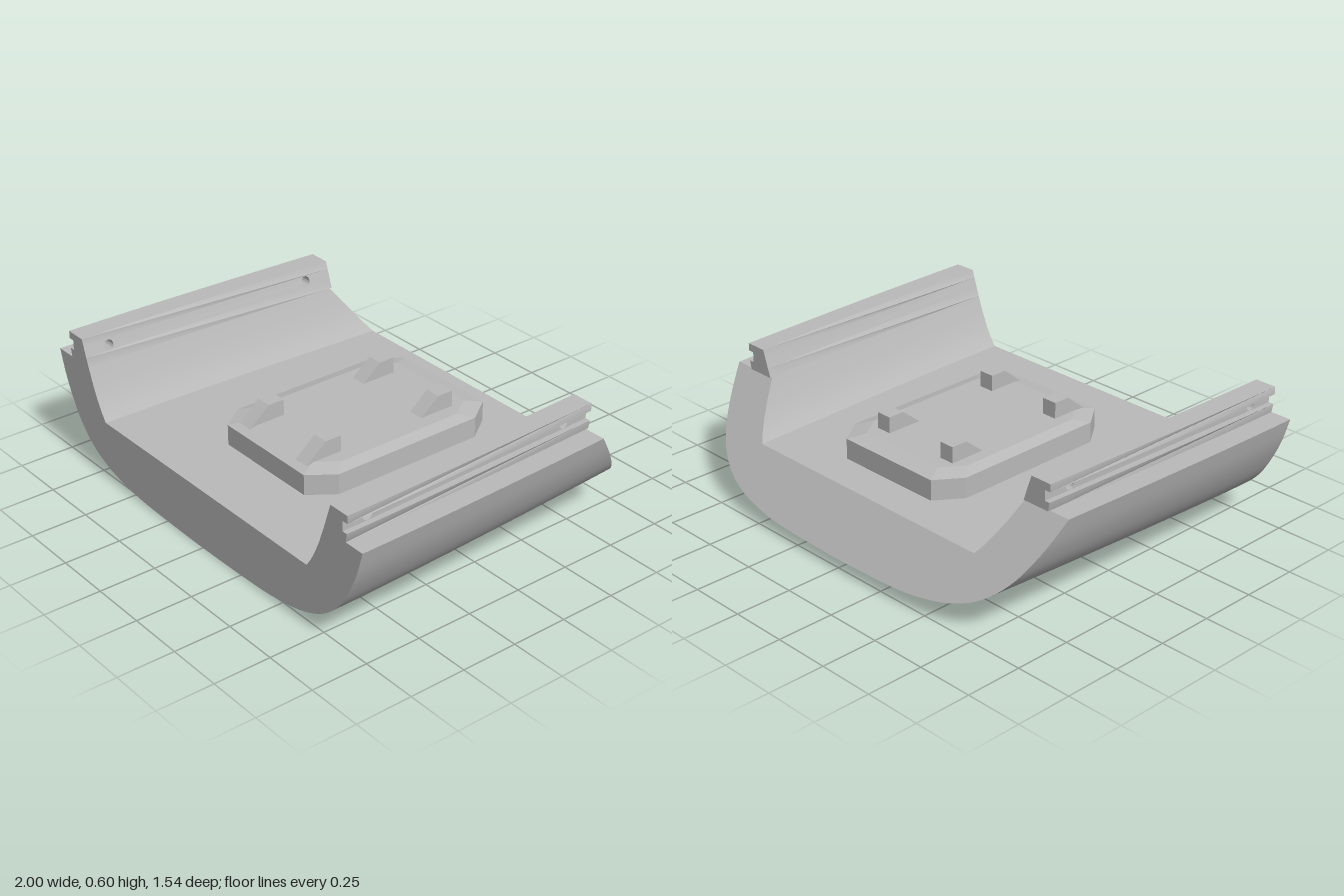
import * as THREE from 'three';
import { toCreasedNormals } from 'three/addons/utils/BufferGeometryUtils.js';

const FRONT = 0.77, LEDGE = 0.485, FLOOR = 0.27;

// inward taper of the sides towards the back
const taper = (x, z) => {
  const u = Math.max(0, (FRONT - z) / 1.24);
  return x - Math.sign(x) * 0.04 * Math.pow(u, 1.5) * Math.min(1, Math.abs(x) / 0.6);
};

// move every vertex of a geometry by a rule
function remap(geo, rule, crease = 0.5) {
  const p = geo.attributes.position;
  for (let i = 0; i < p.count; i++) p.setXYZ(i, ...rule(p.getX(i), p.getY(i), p.getZ(i)));
  return toCreasedNormals(geo, crease);
}

const v2 = (list) => list.map(([x, y]) => new THREE.Vector2(x, y));
const mirror = (list) => list.map(([x, y]) => [-x, y]).reverse();

export function createModel() {
  const group = new THREE.Group();
  const grey = new THREE.MeshStandardMaterial({ color: 0xbababa });
  grey.name = 'grey';
  const add = (name, geo) => {
    const mesh = new THREE.Mesh(geo, grey);
    mesh.name = name;
    group.add(mesh);
    return mesh;
  };

  // tray shell: U section swept to a slanted back
  const half = [[1, LEDGE], [0.968, 0.38], [0.925, 0.285], [0.87, 0.195], [0.8, 0.125],
    [0.72, 0.077], [0.62, 0.042], [0.5, 0.02], [0.35, 0.007]];
  const outer = new THREE.SplineCurve(v2([...half, [0, 0], ...mirror(half)])).getPoints(60);
  const wall = [[0.675, FLOOR], [0.7, 0.305], [0.725, 0.35], [0.752, 0.41], [0.78, LEDGE]];
  const section = new THREE.Shape([...outer, ...v2([...mirror(wall), ...wall])]);
  const shell = new THREE.ExtrudeGeometry(section, { depth: 1, steps: 12, bevelEnabled: false });
  add('trayShell', remap(shell, (x, y, d) => {
    const w = 1 - d, lift = Math.max(0, 1 - y / FLOOR) * 0.055;
    const back = -0.46 - 0.72 * (LEDGE - y - lift);
    const z = THREE.MathUtils.lerp(FRONT, back, w);
    return [taper(x, z), y + lift * Math.pow(w, 1.2), z];
  }));

  // grooved side rails with cross holes, made of three stacked strips
  const strips = [
    { name: 'railBase', y: [LEDGE, 0.523], x: [0.905, 0.912] },
    { name: 'railGroove', y: [0.523, 0.567], x: [0.888, 0.888], holes: [0.655, -0.345] },
    { name: 'railTop', y: [0.567, 0.6], x: [0.915, 0.915] },
  ];
  for (const side of [1, -1]) {
    for (const { name, y: [y0, y1], x: [x0, x1], holes = [] } of strips) {
      const zs = Array.from({ length: 13 }, (_, i) => -0.47 + (1.24 * i) / 12);
      const edge = [...zs.map((z) => [z, y0]), ...zs.map((z) => [z, y1]).reverse()];
      const shape = new THREE.Shape(v2(edge.map(([z, y]) => [-side * z, y])));
      for (const z of holes) {
        const hole = new THREE.Path();
        hole.absarc(-side * z, 0.545, 0.021, 0, Math.PI * 2, true);
        shape.holes.push(hole);
      }
      const geo = new THREE.ExtrudeGeometry(shape, { depth: 1, bevelEnabled: false, curveSegments: 20 });
      add((side > 0 ? 'left' : 'right') + name[0].toUpperCase() + name.slice(1), remap(geo, (a, y, d) => {
        const z = -side * a;
        const inside = 0.78 + (y - LEDGE) * 0.34;
        const outside = THREE.MathUtils.mapLinear(y, y0, y1, x0, x1);
        return [taper(side * THREE.MathUtils.lerp(inside, outside, d), z), y, z];
      }));
    }
  }

  // chamfered pad with a shallow raised top
  const octagon = new THREE.Shape(v2([[-0.215, -0.48], [0.285, -0.48], [0.365, -0.37], [0.365, 0.335],
    [0.285, 0.45], [-0.215, 0.45], [-0.295, 0.335], [-0.295, -0.37]]));
  const slab = (depth) => new THREE.ExtrudeGeometry(octagon, { depth, bevelEnabled: false });
  add('padBase', remap(slab(0.1), (x, y, d) => [x, 0.26 + d, -y]));
  add('padTop', remap(slab(0.014), (x, y, d) => {
    const k = d > 0.007 ? 0.84 : 1;
    return [0.035 + (x - 0.035) * k, 0.36 + d, -(-0.015 + (y + 0.015) * k)];
  }, 0.05));

  // four wedge-shaped pegs
  const wedge = new THREE.Shape(v2([[0.31, 0.33], [0.31, 0.445], [0.235, 0.445], [0.14, 0.368], [0.14, 0.33]].reverse()));
  const peg = remap(new THREE.ExtrudeGeometry(wedge, { depth: 0.07, bevelEnabled: false }),
    (a, y, d) => [d - 0.035, y, -a]);
  for (const x of [-0.155, 0.215]) {
    for (const z of [0, 0.578]) add('peg', peg).position.set(x, 0, z);
  }
  return group;
}
